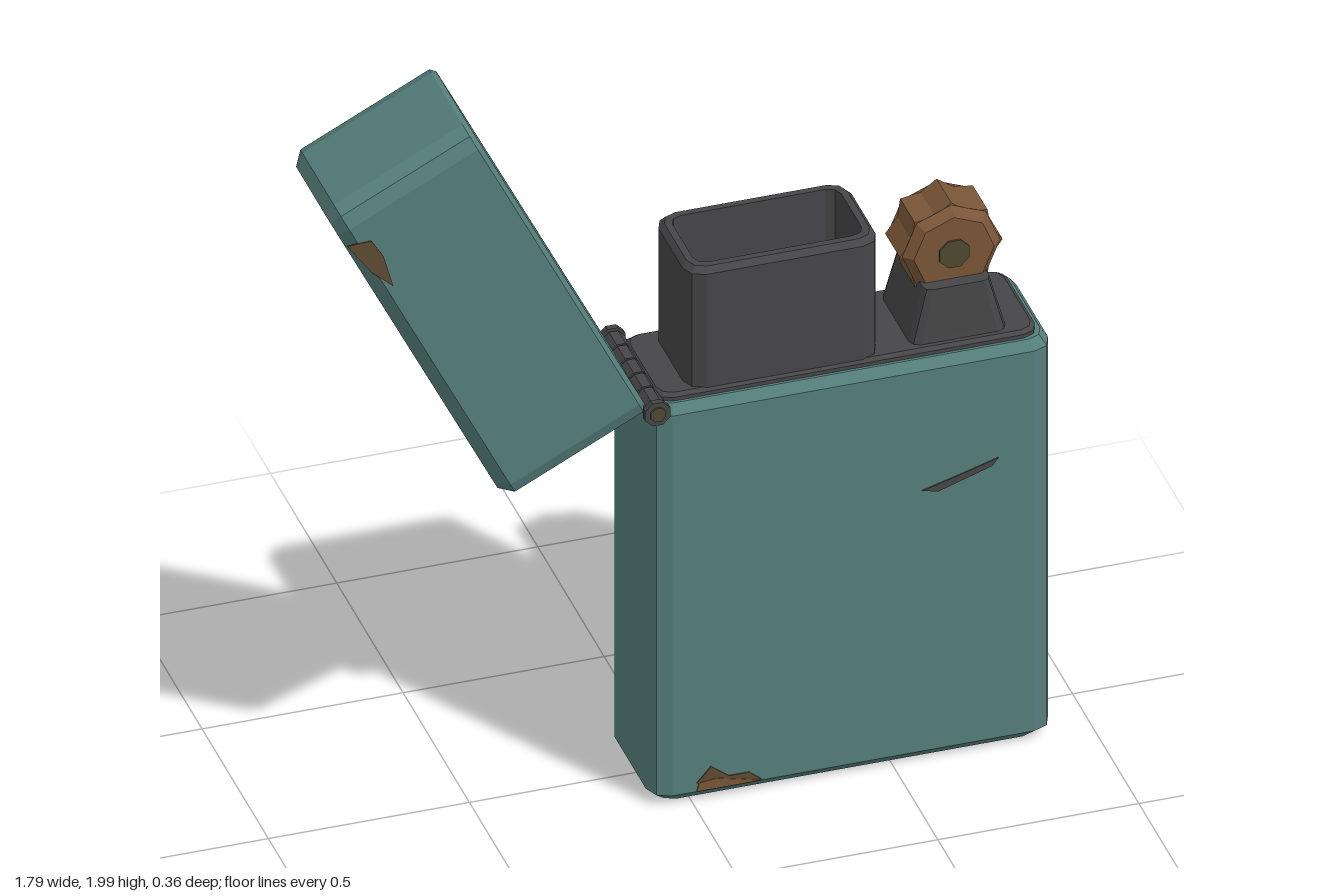
import * as THREE from 'three';

const mat = (name, color, side = THREE.FrontSide) => {
  const m = new THREE.MeshStandardMaterial({ color, flatShading: true, side });
  m.name = name;
  return m;
};

// Corner points of a rounded rectangle, counter-clockwise seen from above
function ring(w, d, r, y) {
  const pts = [], seg = 2;
  const corners = [[1, -1, -0.5], [-1, -1, -1], [-1, 1, -1.5], [1, 1, -2]];
  // every corner is an arc that runs from the side before it to the side after it
  corners.forEach(([sx, sz], i) => {
    for (let k = 0; k <= seg; k++) {
      const a = (i + k / seg) * Math.PI / 2;
      pts.push([sx * (w / 2 - r) + Math.cos(a) * r, y, sz * (d / 2 - r) - Math.sin(a) * r]);
    }
  });
  return pts;
}

// Skin through rings [width, depth, radius, y], closed at both ends
function loft(rows) {
  const rings = rows.map(r => ring(...r)), n = rings[0].length;
  const pos = rings.flat(2), idx = [];
  for (let j = 0; j < rings.length - 1; j++) {
    for (let i = 0; i < n; i++) {
      const a = j * n + i, b = j * n + (i + 1) % n;
      idx.push(a, b, b + n, a, b + n, a + n);
    }
  }
  const last = (rings.length - 1) * n;
  for (let i = 1; i < n - 1; i++) {
    idx.push(0, i + 1, i, last, last + i, last + i + 1);
  }
  const g = new THREE.BufferGeometry();
  g.setAttribute('position', new THREE.Float32BufferAttribute(pos, 3));
  g.setIndex(idx);
  const flat = g.toNonIndexed();
  flat.computeVertexNormals();
  return flat;
}

export function createModel() {
  const root = new THREE.Group();
  root.name = 'lighter';
  const teal = mat('teal enamel', 0x557f7c);
  const steel = mat('dark steel', 0x464547);
  const copper = mat('copper', 0x7a5638);
  const brass = mat('old brass', 0x4f4931);
  const rust = mat('rust', 0x5f4a30);

  const add = (name, geometry, material, x = 0, y = 0, z = 0, parent = root) => {
    const m = new THREE.Mesh(geometry, material);
    m.name = name;
    m.position.set(x, y, z);
    parent.add(m);
    return m;
  };
  const rod = (name, r, length, material, x, y, z = 0) => {
    const g = new THREE.CylinderGeometry(r, r, length, 8);
    g.rotateY(Math.PI / 8).rotateX(Math.PI / 2);
    return add(name, g, material, x, y, z);
  };

  // Lower case with chamfered base and rim
  add('case', loft([
    [0.94, 0.275, 0.04, 0], [1, 0.335, 0.05, 0.03],
    [1, 0.335, 0.05, 1.1], [0.965, 0.3, 0.04, 1.125],
  ]), teal, 0.4);

  // Insert plate under the chimney and wheel
  add('insertPlate', loft([
    [0.95, 0.285, 0.04, 1.1], [0.95, 0.285, 0.04, 1.135], [0.93, 0.265, 0.035, 1.143],
  ]), steel, 0.397);

  // Hollow lid, swung open about the hinge
  const lid = new THREE.Group();
  lid.name = 'lid';
  lid.position.set(-0.1, 1.11, 0);
  lid.rotation.z = THREE.MathUtils.degToRad(116.6);
  root.add(lid);
  add('lidShell', loft([
    [0.93, 0.265, 0.04, 0.37], [0.93, 0.265, 0.04, 0],
    [0.98, 0.315, 0.05, 0], [0.995, 0.335, 0.05, 0.012],
    [0.995, 0.335, 0.05, 0.37], [0.95, 0.285, 0.04, 0.4],
  ]), teal, 0.4975, 0, 0, lid);

  // Hinge pin and knuckles
  rod('hingePin', 0.022, 0.345, steel, -0.09, 1.12);
  for (let i = -2; i <= 2; i++) {
    rod('hingeKnuckle', 0.029, 0.058, steel, -0.09, 1.12, i * 0.064);
  }
  for (const s of [-1, 1]) {
    rod('hingeCap', 0.034, 0.016, steel, -0.09, 1.12, s * 0.17);
    rod('hingePinEnd', 0.02, 0.006, brass, -0.09, 1.12, s * 0.179);
  }

  // Hollow chimney
  add('chimney', loft([
    [0.42, 0.21, 0.03, 1.16], [0.42, 0.21, 0.03, 1.475],
    [0.455, 0.245, 0.04, 1.475], [0.48, 0.27, 0.045, 1.46], [0.48, 0.27, 0.045, 1.13],
  ].reverse()), steel, 0.24);

  // Wick in its collar
  add('wickCollar', new THREE.CylinderGeometry(0.058, 0.058, 0.05, 8), brass, 0.228, 1.185);
  add('wick', new THREE.CylinderGeometry(0.028, 0.028, 0.12, 6), steel, 0.228, 1.22);

  // Tapered block carrying the wheel
  add('wheelFoot', loft([
    [0.245, 0.245, 0.025, 1.13], [0.235, 0.24, 0.025, 1.155],
    [0.165, 0.22, 0.02, 1.285],
  ]), steel, 0.68);

  // Toothed spark wheel
  const star = new THREE.Shape();
  for (let i = 0; i < 16; i++) {
    const a = i * Math.PI / 8, r = i % 2 ? 0.106 : 0.128;
    star[i ? 'lineTo' : 'moveTo'](Math.cos(a) * r, Math.sin(a) * r);
  }
  star.closePath();
  const teeth = new THREE.ExtrudeGeometry(star, { depth: 0.11, bevelEnabled: false });
  add('sparkWheel', teeth, copper, 0.68, 1.355, -0.055);
  for (const s of [-1, 1]) {
    const cheek = new THREE.CylinderGeometry(0.1, 0.122, 0.022, 8);
    cheek.rotateY(Math.PI / 8 * 2).rotateX(s * Math.PI / 2);
    add('wheelCheek', cheek, copper, 0.68, 1.355, s * 0.066);
  }
  rod('wheelAxle', 0.04, 0.164, brass, 0.68, 1.355);

  // Thin paint chips and a scratch
  const chip = (name, pts, material, z) => {
    const s = new THREE.Shape(pts.map(p => new THREE.Vector2(...p)));
    const g = new THREE.ExtrudeGeometry(s, { depth: 0.004, bevelEnabled: false });
    add(name, g, material, 0, 0, z);
  };
  const front = 0.1665, back = -0.1705;
  chip('lidChip', [[-0.86, 1.745], [-0.8, 1.66], [-0.745, 1.61], [-0.77, 1.7], [-0.8, 1.748]], rust, front);
  chip('baseChipUpper', [[0.01, 0.055], [0.1, 0.045], [0.17, 0.035], [0.14, 0.06], [0.09, 0.06], [0.045, 0.095]], rust, front);
  chip('baseChipLower', [[0.01, 0.032], [0.17, 0.032], [0.1, 0.05], [0.06, 0.06], [0.015, 0.055]], copper, front + 0.001);
  chip('scratch', [[0.57, 0.765], [0.61, 0.755], [0.745, 0.8], [0.76, 0.82], [0.66, 0.79]], steel, front);
  chip('backChip', [[0.82, 1.09], [0.71, 1.07], [0.74, 1.045], [0.755, 1.0]], copper, back);

  return root;
}
